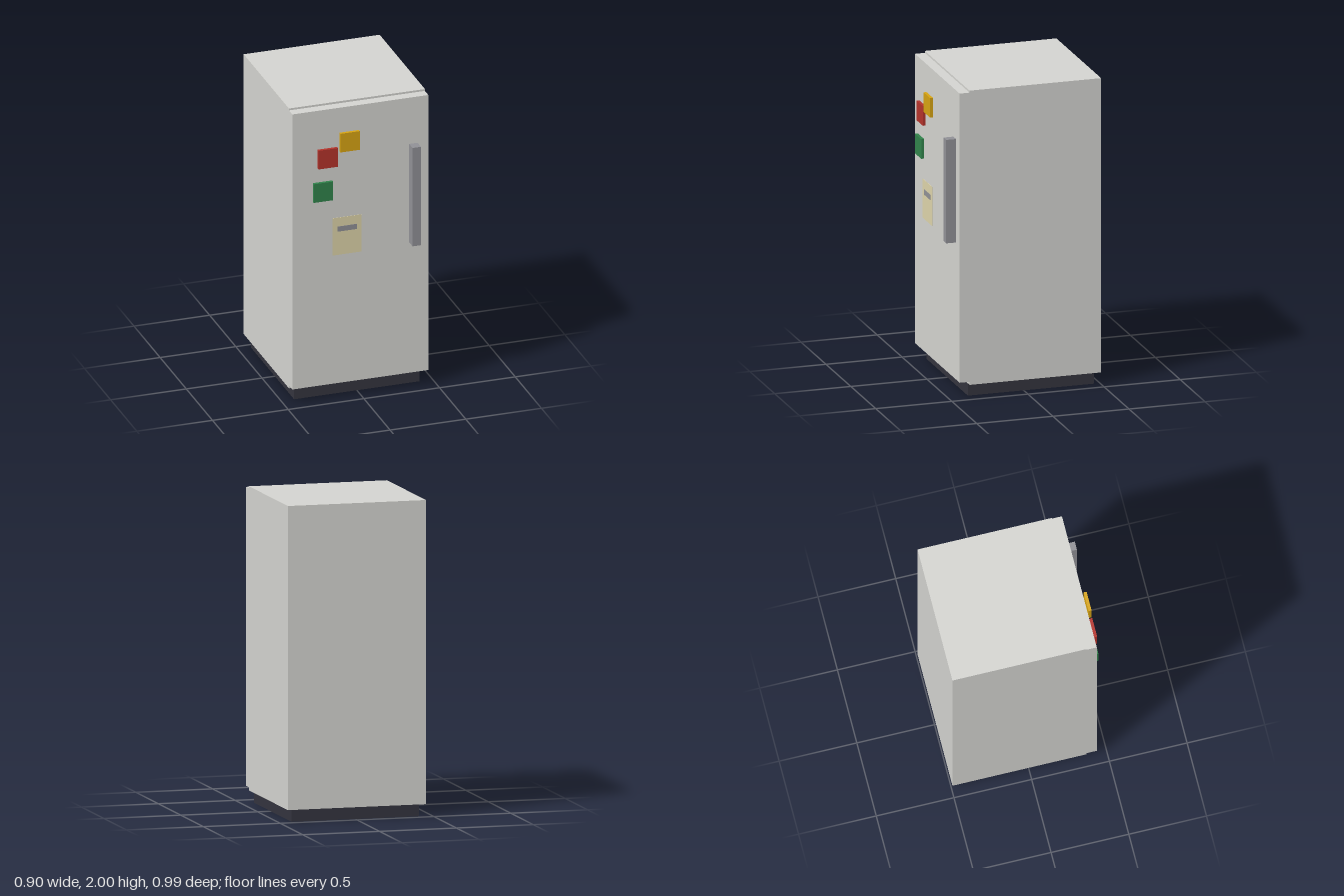
import * as THREE from 'three';

const mat = (name, color) => {
  const m = new THREE.MeshStandardMaterial({ color });
  m.name = name;
  return m;
};

export function createModel() {
  const enamel = mat('enamel', 0xd4d4d0);
  const steel = mat('steel', 0x919196);
  const plinthDark = mat('plinthDark', 0x34343e);
  const paper = mat('paper', 0xded4aa);
  const red = mat('red', 0xb4332b);
  const yellow = mat('yellow', 0xd7a413);
  const green = mat('green', 0x31834b);

  const group = new THREE.Group();
  group.name = 'refrigerator';

  // Box given by its extents on each axis
  const box = (name, material, [x0, x1], [y0, y1], [z0, z1]) => {
    const mesh = new THREE.Mesh(new THREE.BoxGeometry(x1 - x0, y1 - y0, z1 - z0), material);
    mesh.position.set((x0 + x1) / 2, (y0 + y1) / 2, (z0 + z1) / 2);
    mesh.name = name;
    group.add(mesh);
  };

  // Body: recessed plinth, cabinet, and a door slightly shorter than the cabinet
  box('plinth', plinthDark, [-0.415, 0.415], [0, 0.08], [-0.46, 0.367]);
  box('cabinet', enamel, [-0.449, 0.449], [0.08, 2], [-0.497, 0.367]);
  box('door', enamel, [-0.449, 0.449], [0.1, 1.987], [0.367, 0.432]);
  box('handle', steel, [0.323, 0.378], [0.995, 1.67], [0.432, 0.497]);

  // Square magnets
  const magnets = [
    ['redMagnet', red, -0.226, 1.668],
    ['yellowMagnet', yellow, -0.082, 1.763],
    ['greenMagnet', green, -0.258, 1.443],
  ];
  const h = 0.064;
  for (const [name, material, x, y] of magnets)
    box(name, material, [x - h, x + h], [y - h, y + h], [0.455, 0.474]);

  // Paper note with a printed bar
  box('note', paper, [-0.195, -0.003], [0.995, 1.25], [0.463, 0.465]);
  box('noteBar', steel, [-0.162, -0.035], [1.155, 1.19], [0.465, 0.467]);

  return group;
}
